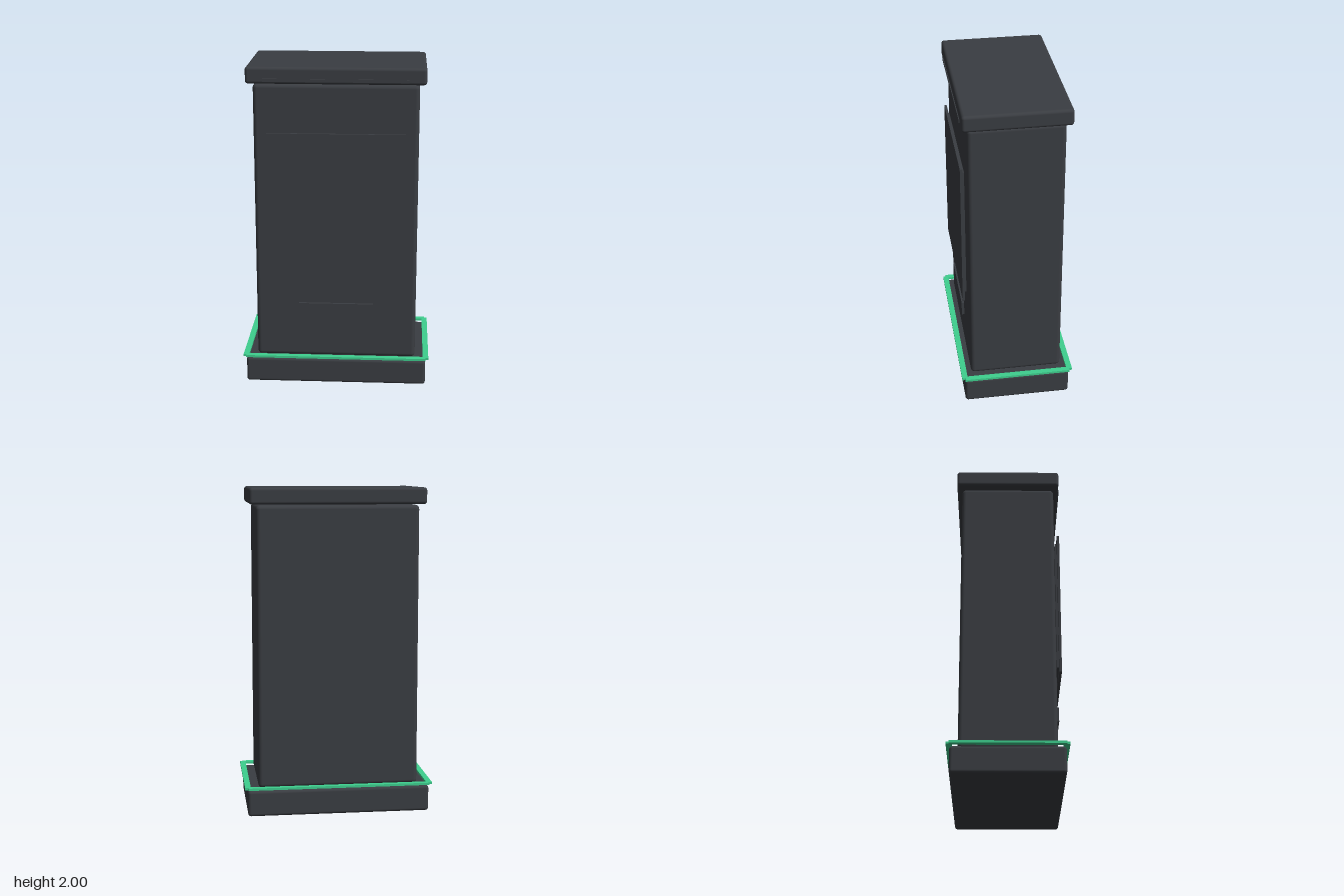
import * as THREE from 'three';
import { RoundedBoxGeometry } from 'three/addons/geometries/RoundedBoxGeometry.js';

export function createModel() {
  const model = new THREE.Group();
  model.name = 'cabinet';

  const casing = new THREE.MeshStandardMaterial({ color: 0x3a3d42 });
  casing.name = 'charcoal casing';
  const glow = new THREE.MeshStandardMaterial({ color: 0x3ecf8e });
  glow.name = 'green trim';

  // Each box is given by its x, y and z extents; a radius rounds its edges.
  function box(name, material, [x0, x1], [y0, y1], [z0, z1], radius = 0) {
    const w = x1 - x0, h = y1 - y0, d = z1 - z0;
    const geometry = radius
      ? new RoundedBoxGeometry(w, h, d, 3, radius)
      : new THREE.BoxGeometry(w, h, d);
    const mesh = new THREE.Mesh(geometry, material);
    mesh.name = name;
    mesh.position.set((x0 + x1) / 2, (y0 + y1) / 2, (z0 + z1) / 2);
    model.add(mesh);
  }

  // Plinth, main body and overhanging lid
  box('plinth', casing, [-0.562, 0.562], [0, 0.16], [-0.33, 0.33], 0.018);
  box('body', casing, [-0.495, 0.495], [0.165, 1.895], [-0.285, 0.285], 0.025);
  box('lid', casing, [-0.535, 0.535], [1.9, 2], [-0.317, 0.317], 0.018);
  box('lidStrip', casing, [-0.432, 0.432], [1.915, 1.933], [0.312, 0.322]);

  // Front panel on its thin backing, with the slot plate below
  box('panelBacking', casing, [-0.38, 0.38], [0.72, 1.565], [0.292, 0.306]);
  box('frontPanel', casing, [-0.415, 0.415], [0.68, 1.605], [0.305, 0.32]);
  box('slotPlate', casing, [-0.23, 0.23], [0.435, 0.525], [0.292, 0.308]);

  // Green trim frame floating above the plinth
  const trimY = [0.17, 0.184];
  for (const s of [-1, 1]) {
    const zs = [s * 0.315, s * 0.35].sort((a, b) => a - b);
    const xs = [s * 0.545, s * 0.58].sort((a, b) => a - b);
    box(s > 0 ? 'frontTrim' : 'backTrim', glow, [-0.562, 0.562], trimY, zs);
    box(s > 0 ? 'leftTrim' : 'rightTrim', glow, xs, trimY, [-0.332, 0.332]);
  }

  return model;
}
